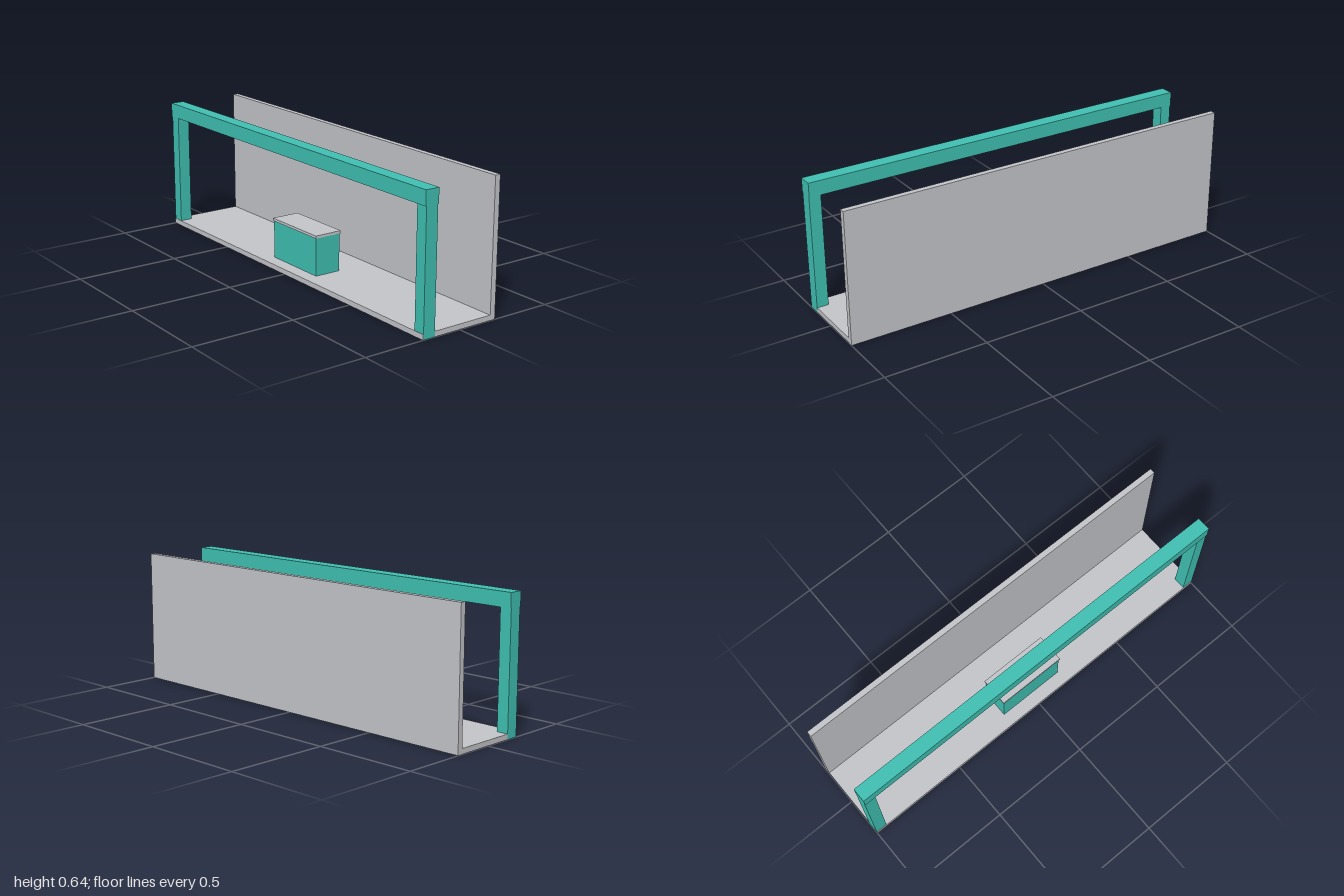
import * as THREE from 'three';

const teal = new THREE.MeshStandardMaterial({ color: 0x40c1b3 });
teal.name = 'teal';
const grey = new THREE.MeshStandardMaterial({ color: 0xc5c6ca });
grey.name = 'light grey';

// Box given by its lower and upper limits on each axis
function box(name, material, [x0, x1], [y0, y1], [z0, z1]) {
  const geometry = new THREE.BoxGeometry(x1 - x0, y1 - y0, z1 - z0);
  const mesh = new THREE.Mesh(geometry, material);
  mesh.position.set((x0 + x1) / 2, (y0 + y1) / 2, (z0 + z1) / 2);
  mesh.name = name;
  return mesh;
}

export function createModel() {
  const model = new THREE.Group();
  model.name = 'stall';

  // Floor slab and rear wall
  model.add(
    box('floor', grey, [-0.999, 0.999], [0, 0.025], [-0.2, 0.2]),
    box('backWall', grey, [-1, 1], [0, 0.642], [-0.2, -0.173])
  );

  // Front frame: two posts under a slightly deeper beam
  const frame = new THREE.Group();
  frame.name = 'frontFrame';
  frame.add(
    box('leftPost', teal, [0.943, 1], [0.001, 0.575], [0.137, 0.198]),
    box('rightPost', teal, [-1, -0.943], [0.001, 0.575], [0.137, 0.198]),
    box('beam', teal, [-1, 1], [0.573, 0.642], [0.133, 0.202])
  );
  model.add(frame);

  // Counter with an overhanging top
  const counter = new THREE.Group();
  counter.name = 'counter';
  counter.add(
    box('counterBody', teal, [-0.172, 0.167], [0.001, 0.208], [0.003, 0.136]),
    box('counterTop', grey, [-0.176, 0.171], [0.208, 0.221], [-0.002, 0.14])
  );
  model.add(counter);

  return model;
}
